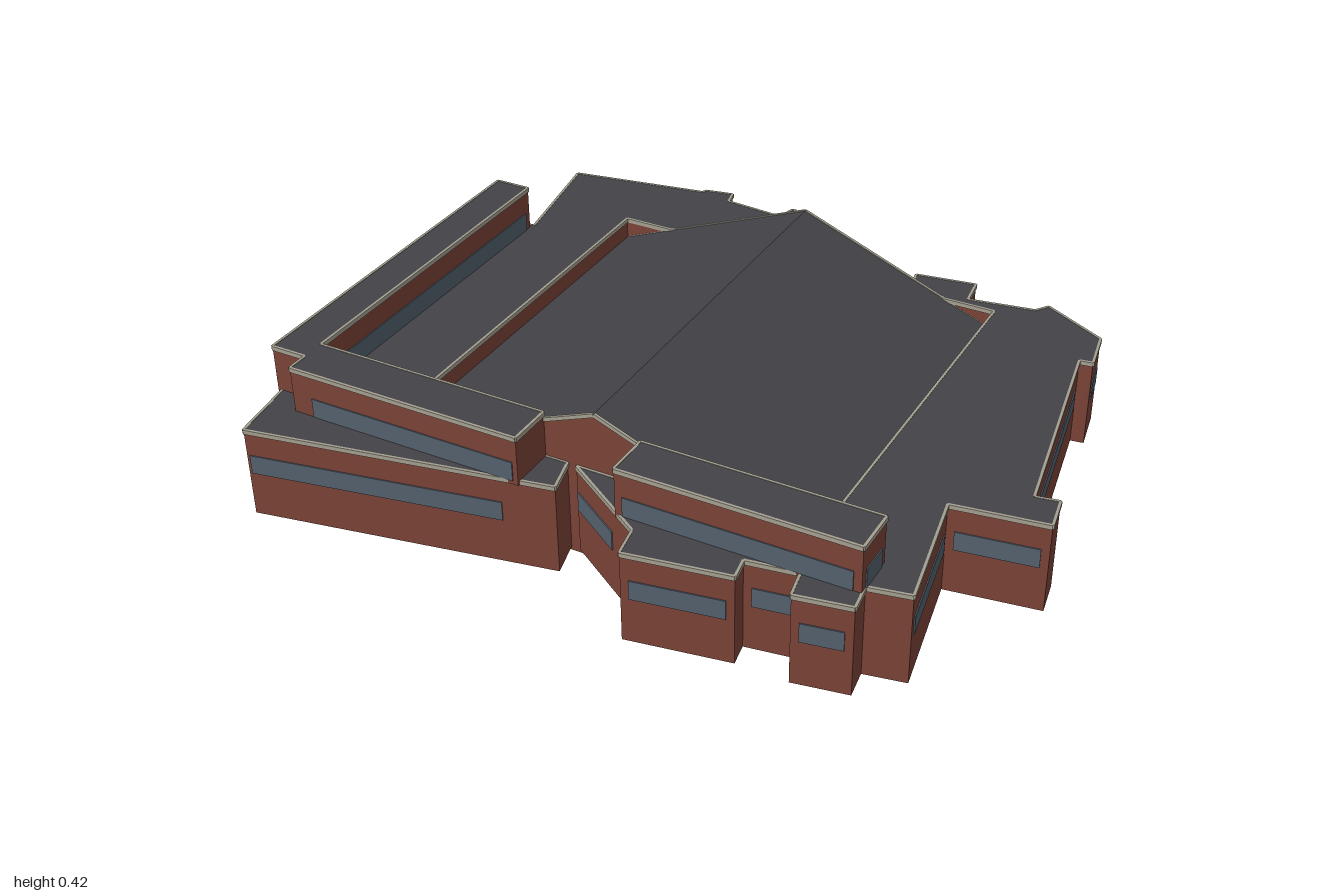
import * as THREE from 'three';

const mat = (name, color) => new THREE.MeshStandardMaterial({ name, color, side: THREE.DoubleSide });

export function createModel() {
  const root = new THREE.Group();
  root.name = 'building';
  const brick = mat('brick', 0x7a4236);
  const trim = mat('trim', 0xa39e8f);
  const glass = mat('window', 0x53606d);
  const roofMat = mat('roof', 0x434247);
  const doorMat = mat('door', 0x77776d);

  const add = (parent, geo, m, name) => {
    const mesh = new THREE.Mesh(geo, m);
    mesh.name = name;
    parent.add(mesh);
    return mesh;
  };
  const group = (name) => {
    const g = new THREE.Group();
    g.name = name;
    root.add(g);
    return g;
  };

  // upright strip along plan edge a-b, between fractions f0 and f1 (t = 0 gives a plain sheet)
  const strip = (parent, a, b, y0, y1, t, m, name, f0 = 0, f1 = 1) => {
    const dx = b[0] - a[0], dz = b[1] - a[1];
    const len = Math.hypot(dx, dz) * (f1 - f0), f = (f0 + f1) / 2;
    const geo = t ? new THREE.BoxGeometry(len, y1 - y0, t) : new THREE.PlaneGeometry(len, y1 - y0);
    const mesh = add(parent, geo, m, name);
    mesh.position.set(a[0] + dx * f, (y0 + y1) / 2, a[1] + dz * f);
    mesh.rotation.y = Math.atan2(-dz, dx);
  };

  // flat-roofed block: walls, parapet trim, window bands and a roof sheet
  const block = (name, pts, y0, y1, w0, w1, bands) => {
    const g = group(name);
    pts.forEach((a, i) => {
      const b = pts[(i + 1) % pts.length];
      strip(g, a, b, y0, y1, 0, brick, 'wall');
      strip(g, a, b, y1 - 0.011, y1 + 0.001, 0.007, trim, 'parapetTrim');
      const len = Math.hypot(b[0] - a[0], b[1] - a[1]);
      const inset = Math.min(0.02 / len, 0.2);
      const band = bands[i] === undefined ? (len > 0.1 ? [inset, 1 - inset] : null) : bands[i];
      if (band) strip(g, a, b, w0, w1, 0.006, glass, 'windowBand', band[0], band[1]);
    });
    const shape = new THREE.Shape(pts.map(([x, z]) => new THREE.Vector2(x, -z)));
    add(g, new THREE.ShapeGeometry(shape).rotateX(-Math.PI / 2), roofMat, 'flatRoof').position.y = y1;
  };

  // hall extents
  const XL = -0.585, XR = 0.54, ZB = -0.55, ZF = 0.573, XM = -0.022, EAVE = 0.2, PEAK = 0.422;

  // ground floor, left part
  block('leftWing', [
    [-0.865, 0.82], [-0.075, 0.67], [-0.1, ZF], [XL, ZF], [XL, ZB], [-0.08, ZB],
    [-0.12, -0.58], [-0.16, -0.635], [-0.187, -0.75], [-0.175, -0.82], [-0.187, -0.82], [-0.2, -0.765],
    [-0.375, -0.78], [-0.385, -0.825], [-0.465, -0.81], [-0.47, -0.797], [-0.86, -0.73],
    [-0.8, -0.39], [-0.87, -0.375], [-0.93, -0.44], [-0.97, -0.43], [-0.9, -0.085], [-1, -0.07],
  ], 0.012, 0.26, 0.135, 0.187,
  { 0: [0.01, 0.83], 1: null, 2: null, 3: null, 4: null, 7: null, 21: null });

  // ground floor, right part
  block('rightWing', [
    [-0.075, ZF + 0.002], [0.165, 0.73], [0.18, 0.815], [0.445, 0.77], [0.435, 0.71], [0.565, 0.69],
    [0.58, 0.77], [0.72, 0.745], [0.71, 0.67], [0.815, 0.65], [0.755, 0.31], [0.995, 0.275],
    [0.98, 0.18], [0.92, 0.19], [0.82, -0.42], [0.855, -0.425], [0.835, -0.545], [0.66, -0.64],
    [0.635, -0.605], [0.455, -0.575], [0.445, -0.66], [0.28, -0.635], [0.295, -0.555], [0.24, ZB],
    [XR, ZB], [XR, ZF],
  ], 0.012, 0.26, 0.135, 0.187,
  { 0: [0.02, 0.64], 8: null, 11: null, 13: [0.03, 0.95], 23: null, 24: null, 25: null });

  // upper storey strips
  block('upperLeftStorey', [
    [-0.905, -0.375], [-0.805, -0.375], [-0.805, ZF], [-0.16, ZF], [-0.16, 0.695],
    [-0.805, 0.695], [-0.805, 0.635], [-0.905, 0.635],
  ], 0.25, 0.385, 0.261, 0.313, { 3: null, 4: [0.02, 0.91], 6: null });
  block('upperRightStorey', [
    [0.1, ZF], [0.712, ZF], [0.712, 0.695], [0.1, 0.695],
  ], 0.25, 0.385, 0.261, 0.313, { 3: null });

  // gabled hall
  const hall = group('hall');
  for (const x of [XL + 0.003, XR - 0.003]) {
    strip(hall, [x, ZB], [x, ZF], 0, EAVE, 0, brick, 'hallSideWall');
    for (let i = 0; i < 5; i++) {
      const z = ZB + 0.14 + i * 0.21;
      strip(hall, [x, z - 0.018], [x, z + 0.018], 0.075, 0.13, 0.006, trim, 'smallWindowFrame');
      strip(hall, [x, z - 0.011], [x, z + 0.011], 0.082, 0.123, 0.009, glass, 'smallWindow');
    }
  }
  const gable = new THREE.Shape([
    [XL, 0], [XR, 0], [XR, EAVE], [XM, PEAK], [XL, EAVE],
  ].map(([x, y]) => new THREE.Vector2(x, y)));
  for (const z of [ZB - 0.002, ZF - 0.002]) {
    add(hall, new THREE.ShapeGeometry(gable), brick, 'gableWall').position.z = z;
  }

  // sloping roof sheets and rake trims
  for (const x of [XL, XR]) {
    const dx = x - XM, dy = EAVE - PEAK, len = Math.hypot(dx, dy);
    const slope = (width, m, z, lift, name, geo) => {
      const mesh = add(hall, geo, m, name);
      mesh.position.set((x + XM) / 2, (EAVE + PEAK) / 2 + lift, z);
      mesh.rotation.z = Math.atan2(dy * Math.sign(dx), Math.abs(dx));
    };
    const sheet = new THREE.PlaneGeometry(len, ZF - ZB).rotateX(-Math.PI / 2);
    slope(0, roofMat, (ZF + ZB) / 2, 0, 'hallRoof', sheet);
    for (const z of [ZB - 0.003, ZF]) {
      slope(0, trim, z, -0.003, 'rakeTrim', new THREE.BoxGeometry(len, 0.01, 0.008));
    }
  }

  // hall doors
  strip(hall, [0, ZB - 0.002], [0.2, ZB - 0.002], 0.002, 0.09, 0.008, doorMat, 'backDoor');
  strip(hall, [-0.065, ZF], [0.02, ZF], 0.002, 0.1, 0.008, doorMat, 'frontDoor');
  return root;
}
